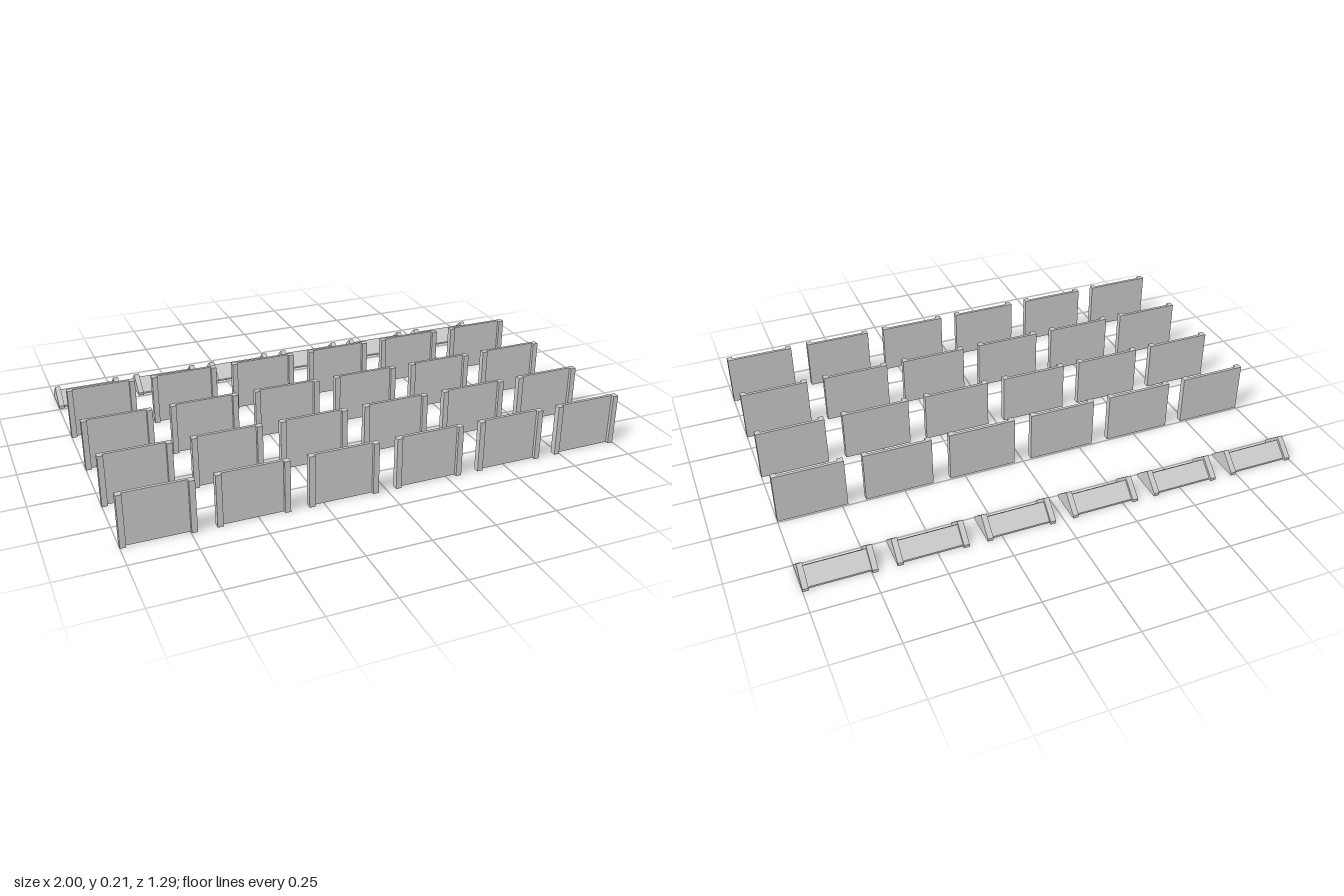
import * as THREE from 'three';

const WIDTH = 0.274, PITCH_X = 0.3452, LIP = 0.022;
const HEIGHT = 0.207, PLATE = 0.012, LIP_DEPTH = 0.025;

// Extrude a closed outline along x, centred; outline points are [z, y]
function prism(points, length) {
  const shape = new THREE.Shape(points.map(([z, y]) => new THREE.Vector2(-z, y)));
  const geo = new THREE.ExtrudeGeometry(shape, { depth: length, bevelEnabled: false });
  geo.translate(0, 0, -length / 2);
  geo.rotateY(Math.PI / 2);
  return geo;
}

export function createModel() {
  const model = new THREE.Group();
  const grey = new THREE.MeshStandardMaterial({ color: 0xcccccc });
  grey.name = 'concrete grey';

  const add = (group, geo, name) => {
    const mesh = new THREE.Mesh(geo, grey);
    mesh.name = name;
    group.add(mesh);
  };

  // Upright panel: one channel-shaped section, flush at the back, lips to the front
  const w = WIDTH / 2, i = w - LIP;
  const channel = new THREE.Shape([
    [-w, 0], [w, 0], [w, -LIP_DEPTH], [i, -LIP_DEPTH],
    [i, -PLATE], [-i, -PLATE], [-i, -LIP_DEPTH], [-w, -LIP_DEPTH],
  ].map(([x, y]) => new THREE.Vector2(x, y)));
  const panelGeo = new THREE.ExtrudeGeometry(channel, { depth: HEIGHT, bevelEnabled: false });
  panelGeo.rotateX(-Math.PI / 2);

  // Ridge cap: lower roof between two raised end ribs
  const ribGeo = prism([[-0.069, 0], [-0.069, 0.012], [0, 0.073], [0.069, 0.012], [0.069, 0]], LIP);
  const roofGeo = prism([[-0.058, 0], [-0.058, 0.007], [0, 0.058], [0.058, 0.007], [0.058, 0]], WIDTH - 2 * LIP);

  for (let col = 0; col < 6; col++) {
    const x = (col - 2.5) * PITCH_X;

    // Four rows of panels
    for (let row = 0; row < 4; row++) {
      const panel = new THREE.Group();
      panel.name = 'wallPanel';
      add(panel, panelGeo, 'channelPanel');
      panel.position.set(x, 0, 0.62 - row * 0.288);
      model.add(panel);
    }

    // Back row of ridge caps
    const cap = new THREE.Group();
    cap.name = 'ridgeCap';
    add(cap, roofGeo, 'capRoof');
    for (const side of [-1, 1]) {
      add(cap, ribGeo, 'capEndRib');
      cap.children.at(-1).position.x = side * (WIDTH - LIP) / 2;
    }
    cap.position.set(x, 0, -0.576);
    model.add(cap);
  }
  return model;
}
